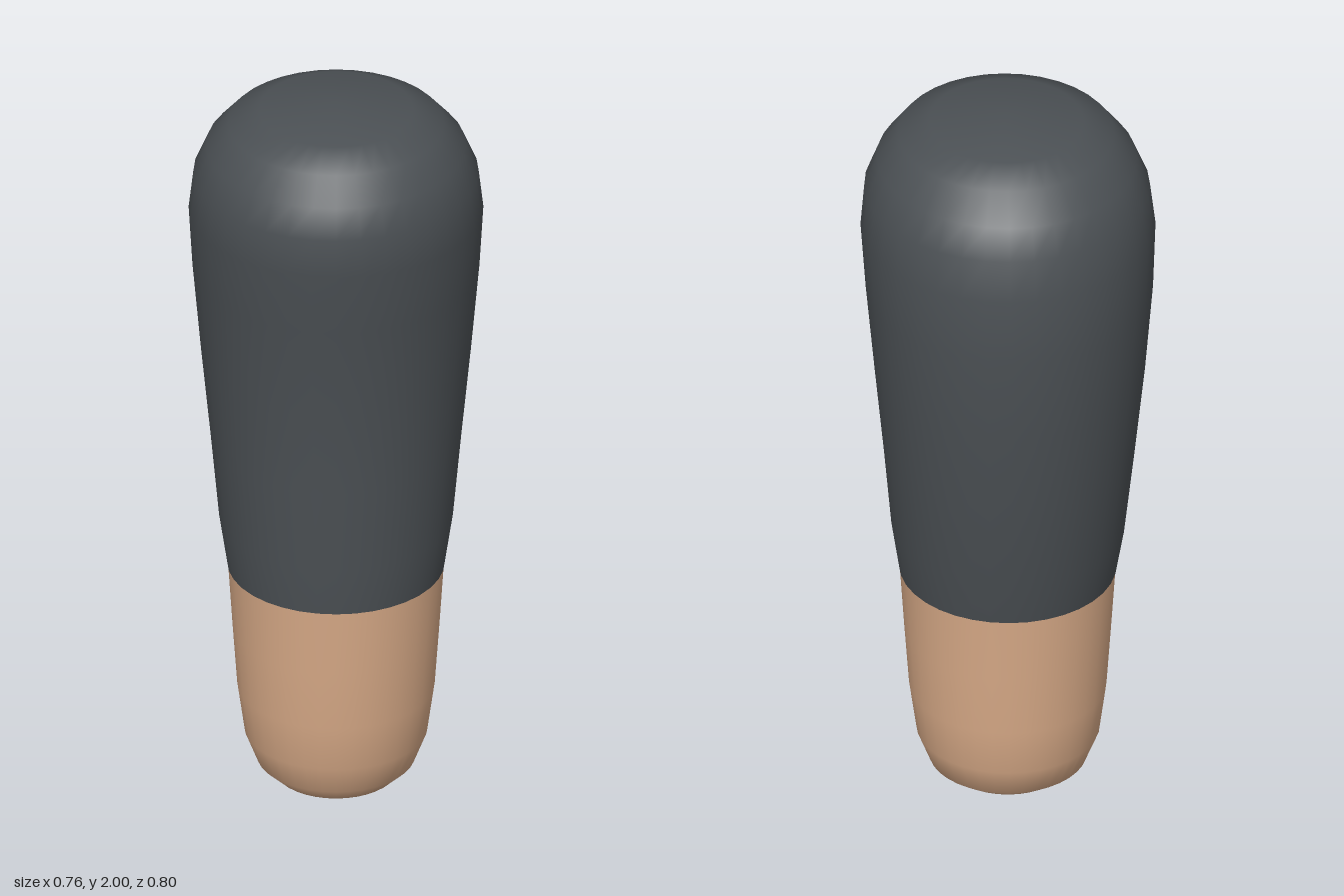
import * as THREE from 'three';

const SIDES = 36;

// Smooth skin through rings of [y, half width, front z, back z]; a zero width ring is a pole
function loft(rings) {
  const positions = [], index = [], rows = [];
  for (const [y, rx, front, back] of rings) {
    const cz = (front + back) / 2, rz = (front - back) / 2;
    const count = rx === 0 ? 1 : SIDES;
    const start = positions.length / 3;
    for (let i = 0; i < count; i++) {
      const a = (i / SIDES) * Math.PI * 2;
      positions.push(rx * Math.sin(a), y, cz + rz * Math.cos(a));
    }
    rows.push((i) => start + (i % count));
  }
  for (let r = 0; r < rows.length - 1; r++) {
    const lo = rows[r], hi = rows[r + 1];
    for (let i = 0; i < SIDES; i++) {
      if (rings[r][1] > 0) index.push(lo(i), lo(i + 1), hi(i + 1));
      if (rings[r + 1][1] > 0) index.push(lo(i), hi(i + 1), hi(i));
    }
  }
  const geometry = new THREE.BufferGeometry();
  geometry.setAttribute('position', new THREE.Float32BufferAttribute(positions, 3));
  // Lower rows with a single point need the opposite triangle of each quad
  geometry.setIndex(index);
  geometry.computeVertexNormals();
  return geometry;
}

export function createModel() {
  const group = new THREE.Group();
  group.name = 'limbSegment';

  const cloth = new THREE.MeshStandardMaterial({ color: 0x4b5054 });
  cloth.name = 'dark grey cloth';
  const skin = new THREE.MeshStandardMaterial({ color: 0xd9ab88 });
  skin.name = 'tan skin';

  // Bare lower end with a rounded tip
  const limb = new THREE.Mesh(loft([
    [0.005, 0, 0.02, 0.02],
    [0.03, 0.16, 0.18, -0.15],
    [0.065, 0.205, 0.21, -0.2],
    [0.15, 0.238, 0.246, -0.238],
    [0.28, 0.256, 0.265, -0.253],
    [0.45, 0.268, 0.28, -0.265],
    [0.635, 0.28, 0.295, -0.28],
  ]), skin);
  limb.name = 'bareLimb';

  // Sleeve widening to a domed top
  const sleeve = new THREE.Mesh(loft([
    [0.635, 0.282, 0.296, -0.281],
    [0.77, 0.303, 0.309, -0.31],
    [1.0, 0.325, 0.32, -0.35],
    [1.25, 0.35, 0.337, -0.38],
    [1.5, 0.372, 0.37, -0.4],
    [1.68, 0.382, 0.398, -0.39],
    [1.79, 0.37, 0.4, -0.367],
    [1.87, 0.337, 0.372, -0.33],
    [1.94, 0.28, 0.32, -0.26],
    [1.978, 0.2, 0.235, -0.18],
    [2.0, 0, 0.03, 0.03],
  ]), cloth);
  sleeve.name = 'sleeve';

  group.add(limb, sleeve);
  return group;
}
